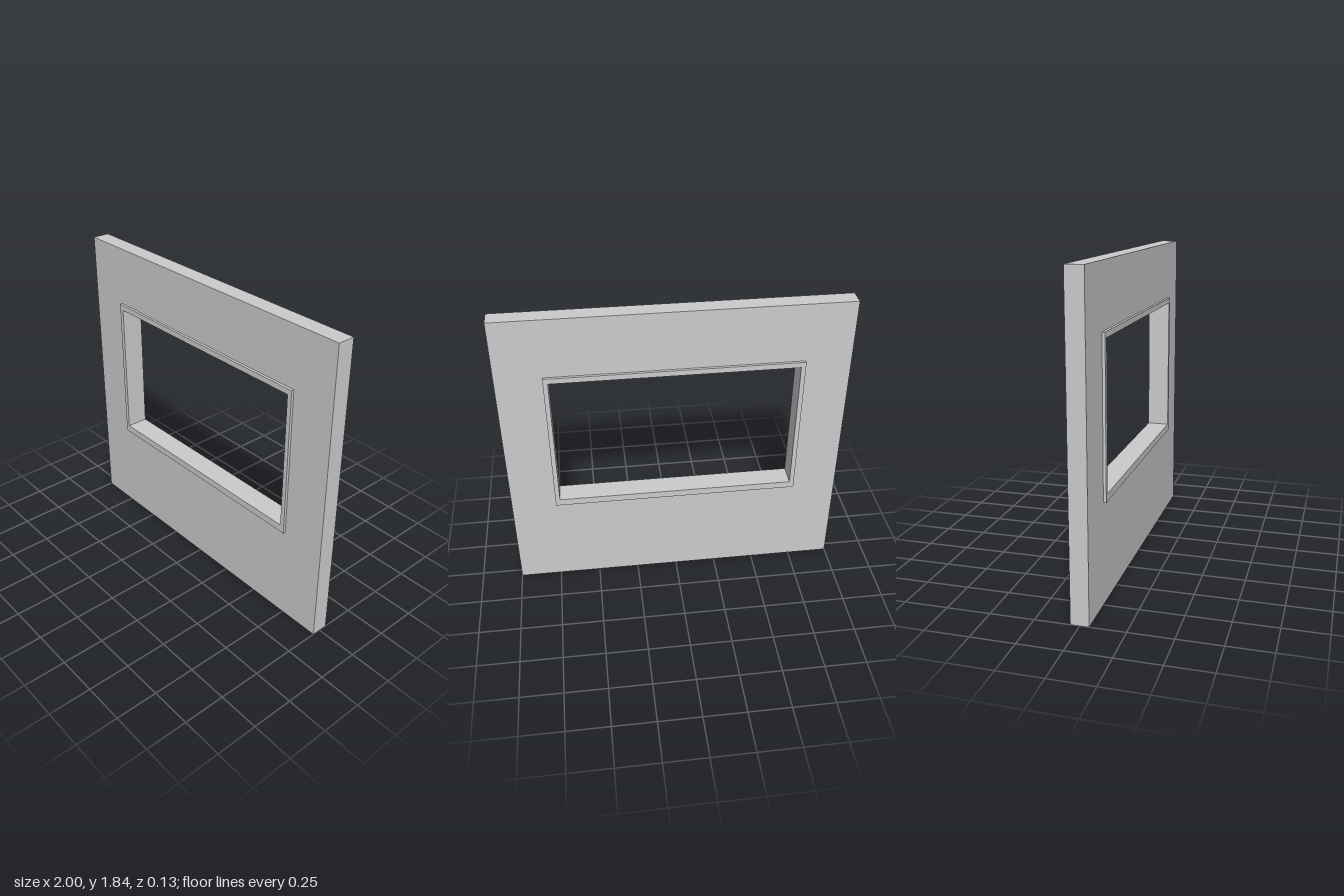
import * as THREE from 'three';

// Rectangle given by its left, right, bottom and top edges
const wallEdge = [-1, 1, 0, 1.84];
const frameEdge = [-0.735, 0.735, 0.582, 1.486];
const openingEdge = [-0.708, 0.708, 0.625, 1.453];

function rectangle(PathType, [left, right, bottom, top]) {
  const path = new PathType();
  path.moveTo(left, bottom);
  path.lineTo(right, bottom);
  path.lineTo(right, top);
  path.lineTo(left, top);
  path.closePath();
  return path;
}

// Flat panel with a rectangular hole, centred on z = 0
function panel(name, outer, hole, depth, material) {
  const shape = rectangle(THREE.Shape, outer);
  shape.holes.push(rectangle(THREE.Path, hole));
  const geometry = new THREE.ExtrudeGeometry(shape, { depth, bevelEnabled: false });
  geometry.translate(0, 0, -depth / 2);
  const mesh = new THREE.Mesh(geometry, material);
  mesh.name = name;
  return mesh;
}

export function createModel() {
  const material = new THREE.MeshStandardMaterial({ color: 0xcccccc });
  const model = new THREE.Group();
  model.name = 'windowWall';

  // Wall slab, cut out to receive the frame
  model.add(panel('wall', wallEdge, frameEdge, 0.102, material));

  // Window frame, standing proud of both wall faces, with a deeper sill
  model.add(panel('windowFrame', frameEdge, openingEdge, 0.134, material));

  return model;
}
